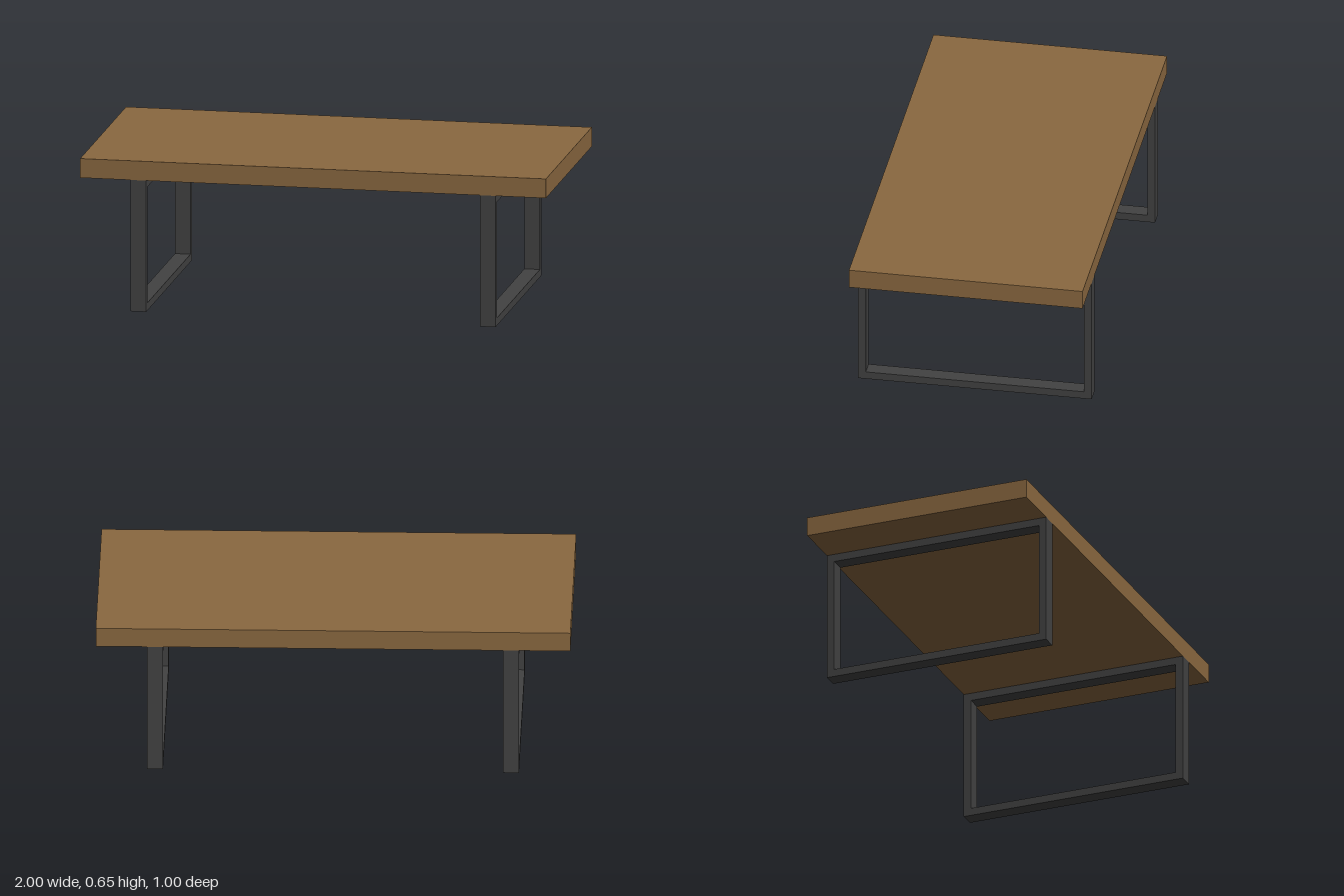
import * as THREE from 'three';

const HEIGHT = 0.65, TOP = 0.083, DEPTH = 1;
const FRAME_H = HEIGHT - TOP, FRAME_W = 0.067, BAR = 0.033, FRAME_X = 0.75;

export function createModel() {
  const wood = new THREE.MeshStandardMaterial({ color: 0x8a6840 });
  wood.name = 'brown wood';
  const metal = new THREE.MeshStandardMaterial({ color: 0x424242 });
  metal.name = 'dark metal';

  const table = new THREE.Group();
  table.name = 'coffeeTable';

  // Thick slab top
  const top = new THREE.Mesh(new THREE.BoxGeometry(2, TOP, DEPTH), wood);
  top.name = 'tableTop';
  top.position.y = HEIGHT - TOP / 2;
  table.add(top);

  // Closed rectangular leg frame: outline with an opening, extruded along x
  const d = DEPTH / 2, i = d - BAR;
  const outline = new THREE.Shape([
    [-d, 0], [d, 0], [d, FRAME_H], [-d, FRAME_H],
  ].map(([x, y]) => new THREE.Vector2(x, y)));
  outline.holes.push(new THREE.Path([
    [-i, BAR], [-i, FRAME_H - BAR], [i, FRAME_H - BAR], [i, BAR],
  ].map(([x, y]) => new THREE.Vector2(x, y))));
  const frameGeometry = new THREE.ExtrudeGeometry(outline, { depth: FRAME_W, bevelEnabled: false });
  frameGeometry.translate(0, 0, -FRAME_W / 2).rotateY(Math.PI / 2);

  for (const [name, side] of [['leftLegFrame', 1], ['rightLegFrame', -1]]) {
    const frame = new THREE.Mesh(frameGeometry, metal);
    frame.name = name;
    frame.position.x = side * FRAME_X;
    table.add(frame);
  }

  return table;
}
